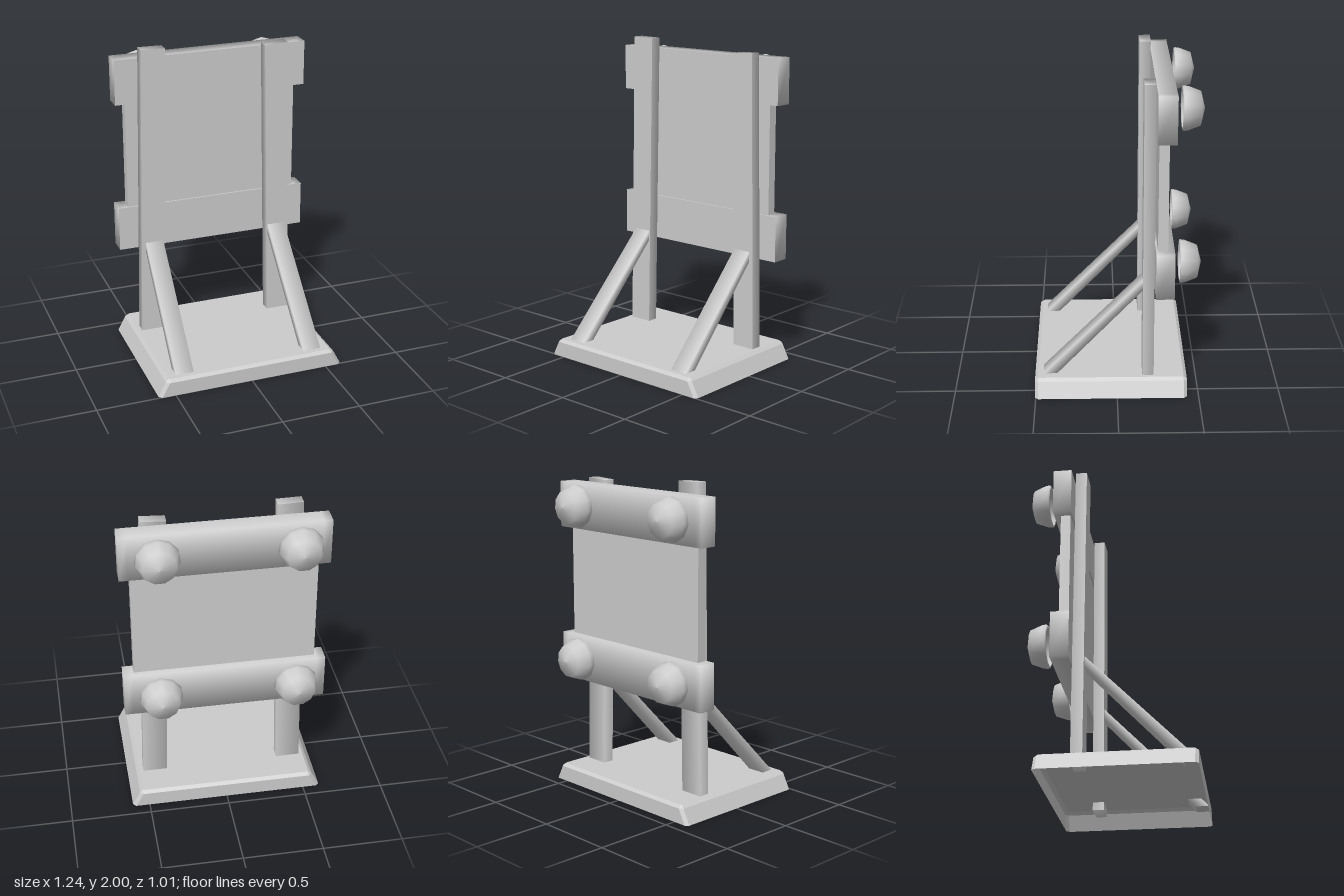
import * as THREE from 'three';

const grey = new THREE.MeshStandardMaterial({ color: 0xcccccc, side: THREE.DoubleSide });

// Box with a flat front and softly shaded sides and back; move(p) reshapes it.
function softBox(w, h, d, move = () => {}) {
  const geo = new THREE.BoxGeometry(w, h, d, w > 1 ? 24 : 1, 1, 1);
  const pos = geo.attributes.position, nor = geo.attributes.normal;
  const p = new THREE.Vector3(), n = new THREE.Vector3();
  for (let i = 0; i < pos.count; i++) {
    p.fromBufferAttribute(pos, i);
    if (nor.getZ(i) < 0.5) {
      const end = Math.abs(p.x) > w / 2 - 1e-4 ? Math.sign(p.x) : 0;
      const cap = Math.abs(nor.getY(i)) > 0.5 || w > 1 ? Math.sign(p.y) * 0.7 : 0;
      n.set(end, cap, p.z < 0 ? -1 : 0).normalize();
      nor.setXYZ(i, n.x, n.y, n.z);
    }
    move(p);
    pos.setXYZ(i, p.x, p.y, p.z);
  }
  return geo;
}

// Sloping brace: a box sheared backwards, cut level at the foot, ending inside the post.
function braceGeometry(side) {
  const y0 = 0.06, y1 = 0.735, depth = 0.085;
  const geo = new THREE.BoxGeometry(0.115, y1 - y0, depth);
  const pos = geo.attributes.position, nor = geo.attributes.normal;
  const n = new THREE.Vector3();
  for (let i = 0; i < pos.count; i++) {
    const x = pos.getX(i), z = pos.getZ(i);
    const y = pos.getY(i) + (y0 + y1) / 2;
    n.set(Math.sign(x) * 0.8, Math.sign(z) * 0.7, Math.sign(z) * 0.7).normalize();
    if (Math.abs(nor.getY(i)) < 0.5) nor.setXYZ(i, n.x, n.y, n.z);
    const lean = (y - 0.11) / 0.625;
    pos.setXYZ(i, x + side * (0.425 - 0.01 * lean), y, Math.max(z + 0.41 - 0.61 * lean, -0.22));
  }
  return geo;
}

// Hollow base: cut-corner rings joined into flat panels, open underneath.
function baseGeometry() {
  const ring = (y, hx, z0, z1, c) => [
    [hx, z0 + c], [hx, z1 - c], [hx - c, z1], [-hx + c, z1],
    [-hx, z1 - c], [-hx, z0 + c], [-hx + c, z0], [hx - c, z0],
  ].map(([x, z]) => [x, y, z]);
  const rings = [
    ring(0, 0.607, -0.43, 0.505, 0.02),
    ring(0.093, 0.558, -0.43, 0.505, 0.02),
    ring(0.11, 0.537, -0.41, 0.485, 0.008),
  ];
  const v = [];
  for (let k = 0; k < 2; k++) {
    for (let i = 0; i < 8; i++) {
      const j = (i + 1) % 8;
      const a = rings[k][i], b = rings[k][j], c = rings[k + 1][j], d = rings[k + 1][i];
      v.push(...a, ...c, ...b, ...a, ...d, ...c);
    }
  }
  const top = rings[2];
  for (let i = 1; i < 7; i++) v.push(...top[0], ...top[i + 1], ...top[i]);
  const geo = new THREE.BufferGeometry();
  geo.setAttribute('position', new THREE.Float32BufferAttribute(v, 3));
  geo.computeVertexNormals();
  return geo;
}

// Domed stud, pointing backwards, hollow on its front.
function studGeometry() {
  const profile = [[0.12, 0], [0.134, 0.006], [0.13, 0.035], [0.102, 0.107], [0, 0.132]]
    .map(([r, y]) => new THREE.Vector2(r, y));
  return new THREE.LatheGeometry(profile, 11).rotateX(-Math.PI / 2);
}

export function createModel() {
  const model = new THREE.Group();
  const add = (name, geo, x = 0, y = 0, z = 0) => {
    const mesh = new THREE.Mesh(geo, grey);
    mesh.name = name;
    mesh.position.set(x, y, z);
    model.add(mesh);
  };

  add('base', baseGeometry());

  // Posts lean slightly inwards and have uneven, slanted tops
  for (const [name, side, height, slant] of [['rightPost', -1, 1.998, -0.02], ['leftPost', 1, 1.953, 0.05]]) {
    const y0 = 0.06;
    add(name, softBox(0.152, height - y0, 0.07, (p) => {
      const isTop = p.y > 0;
      p.y += (height + y0) / 2 + (isTop ? p.x * slant : 0);
      p.x += side * (0.437 - 0.038 * (p.y - 0.11) / 1.88);
    }), 0, 0, -0.191);
    add(side < 0 ? 'rightBrace' : 'leftBrace', braceGeometry(side));
  }

  // Board and its two cross rails
  add('board', new THREE.BoxGeometry(1.115, 1.02, 0.06), -0.003, 1.305, -0.27);
  const stud = studGeometry();
  for (const [name, y] of [['lower', 0.82], ['upper', 1.788]]) {
    add(name + 'Rail', softBox(1.243, 0.285, 0.112), -0.002, y, -0.284);
    add(name + 'RightStud', stud, -0.43, y + 0.008, -0.376);
    add(name + 'LeftStud', stud, 0.4, y + 0.008, -0.376);
  }
  return model;
}
